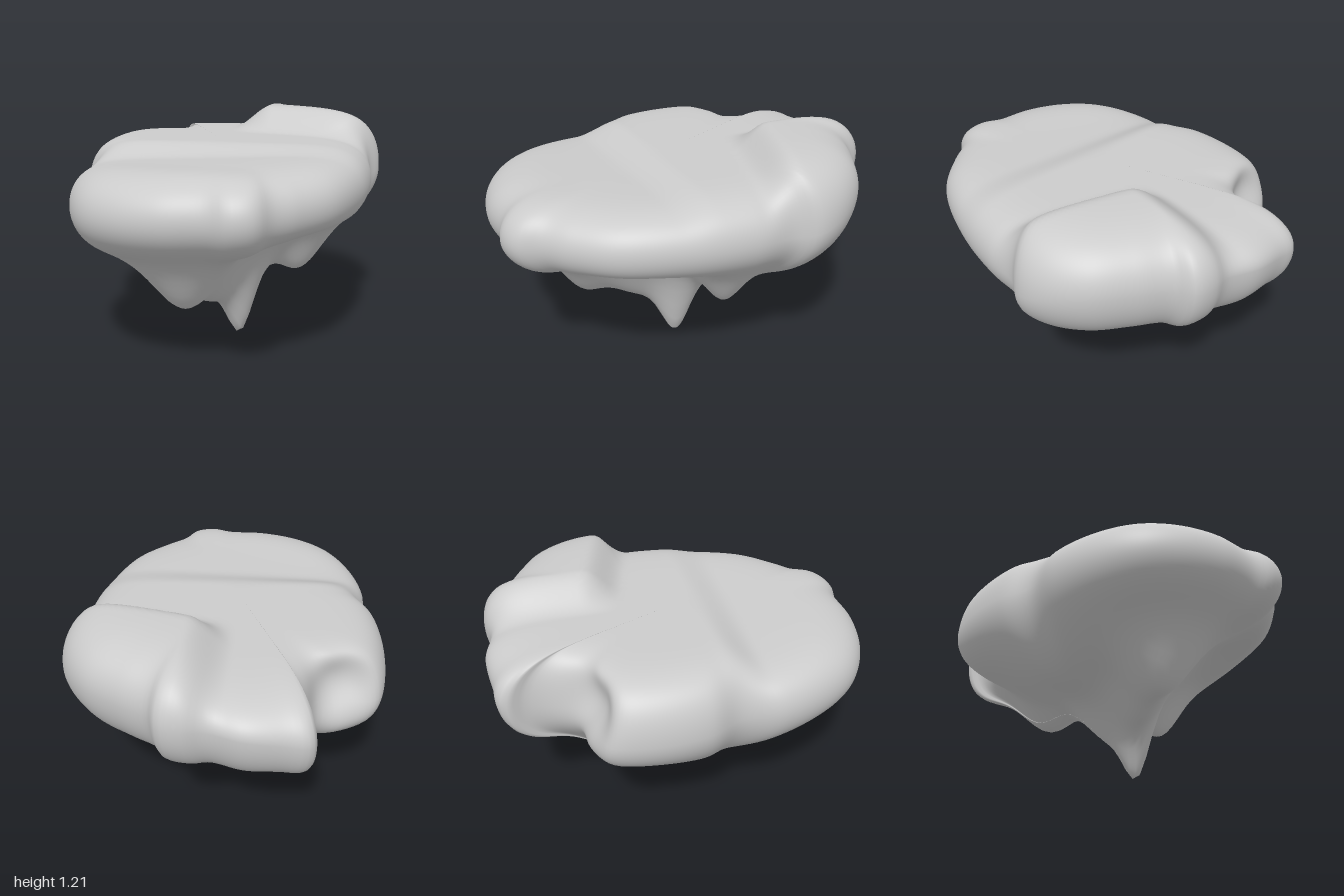
import * as THREE from 'three';
import { mergeVertices } from 'three/addons/utils/BufferGeometryUtils.js';

const smooth = THREE.MathUtils.smoothstep;

// Widest outline of the rock as x, z pairs
const OUTLINE = [
  [0.82, 0], [0.82, 0.35], [0.73, 0.58], [0.66, 0.7], [0.63, 0.82], [0.54, 0.89], [0.43, 0.9], [0.22, 0.98], [0, 1],
  [-0.2, 0.95], [-0.37, 0.82], [-0.52, 0.61], [-0.57, 0.39], [-0.69, 0.26], [-0.79, 0.03], [-0.83, -0.2],
  [-0.81, -0.27], [-0.72, -0.37], [-0.59, -0.43], [-0.57, -0.54], [-0.6, -0.66], [-0.66, -0.73], [-0.64, -0.78],
  [-0.55, -0.82], [-0.38, -0.9], [-0.2, -0.92], [-0.11, -0.98], [0, -1], [0.07, -0.94], [0.24, -0.91], [0.45, -0.86],
  [0.62, -0.74], [0.7, -0.61], [0.69, -0.49], [0.76, -0.3],
];

// Lumps hanging from the underside: x, z, depth, radiusX, radiusZ
const LUMPS = [
  [0.1, 0.02, 0.32, 0.22, 0.24], [0.15, 0.02, 0.24, 0.09, 0.1],  // central point
  [0.09, 0.53, 0.27, 0.22, 0.17], [0.1, 0.28, 0.18, 0.2, 0.16],  // front lump
  [0.4, -0.21, 0.23, 0.17, 0.13],                                // side spur
  [-0.02, -0.12, 0.1, 0.15, 0.15], [-0.22, -0.38, 0.19, 0.2, 0.18], // ridge
  [-0.33, 0.18, 0.14, 0.3, 0.38],                                // front side body
  [0.4, -0.5, 0.08, 0.25, 0.2],                                  // back swelling
  [0.57, 0.28, -0.11, 0.23, 0.28], [0.1, -0.4, -0.08, 0.14, 0.13], // hollows
];

// Flat top with a soft slanted step and a raised back corner
function topHeight(x, z) {
  const step = smooth(z + 0.36 * x - 0.26, -0.13, 0.1);
  const plateau = smooth(x - 0.3 * (z + 0.7), -0.23, 0.02) * smooth(-z - 0.08 * x, 0.27, 0.47);
  return 1.08 - (0.035 + 0.045 * (0.5 - x)) * step + 0.015 * smooth(z, 0.5, 0.8) + 0.135 * plateau;
}

function hangingDepth(x, z) {
  return LUMPS.reduce((sum, [cx, cz, h, rx, rz]) =>
    sum + h * Math.exp(-(((x - cx) / rx) ** 2) - ((z - cz) / rz) ** 2), 0);
}

function rockGeometry(around = 200, rings = 40) {
  const curve = new THREE.CatmullRomCurve3(OUTLINE.map(([x, z]) => new THREE.Vector3(x, 0, z)), true);
  const edge = curve.getSpacedPoints(around).slice(0, around);
  const pos = [], index = [];
  const scoop = new THREE.Vector3(-0.7, 0.9, -0.37);
  const p = new THREE.Vector3();
  // Rings run from the top centre over the rim to the lower centre
  for (let i = 0; i <= 2 * rings; i++) {
    const f = Math.sin((i / rings) * Math.PI / 2);
    const upper = i <= rings;
    for (const e of edge) {
      const x = e.x * f, z = e.z * f;
      const rim = 0.83 + 0.05 * x + 0.13 * smooth(-z, 0.5, 1);
      const floor = 0.57 + 0.06 * x;
      const y = upper
        ? rim + (topHeight(x, z) - rim) * Math.sqrt(Math.max(0, 1 - f ** 8))
        : rim - (rim - floor) * Math.sqrt(Math.max(0, 1 - f ** 5)) - hangingDepth(x, z) * (1 - f ** 6);
      p.set(x, Math.max(0, y), z);
      // Scoop in the side wall
      const push = 0.14 * Math.exp(-p.distanceToSquared(scoop) / 0.028);
      pos.push(p.x + push * 0.55, p.y, p.z + push * 0.8);
    }
  }
  for (let i = 0; i < 2 * rings; i++) {
    for (let j = 0; j < around; j++) {
      const k = (j + 1) % around;
      const a = i * around + j, b = i * around + k, c = a + around, d = b + around;
      if (i > 0) index.push(a, b, c);
      if (i < 2 * rings - 1) index.push(b, d, c);
    }
  }
  const geo = new THREE.BufferGeometry();
  geo.setAttribute('position', new THREE.Float32BufferAttribute(pos, 3));
  geo.setIndex(index);
  const merged = mergeVertices(geo, 1e-5);
  merged.computeVertexNormals();
  return merged;
}

export function createModel() {
  const group = new THREE.Group();
  group.name = 'floatingRock';
  const rock = new THREE.Mesh(rockGeometry(), new THREE.MeshStandardMaterial({ color: 0xcccccc }));
  rock.name = 'rock';
  group.add(rock);
  return group;
}
